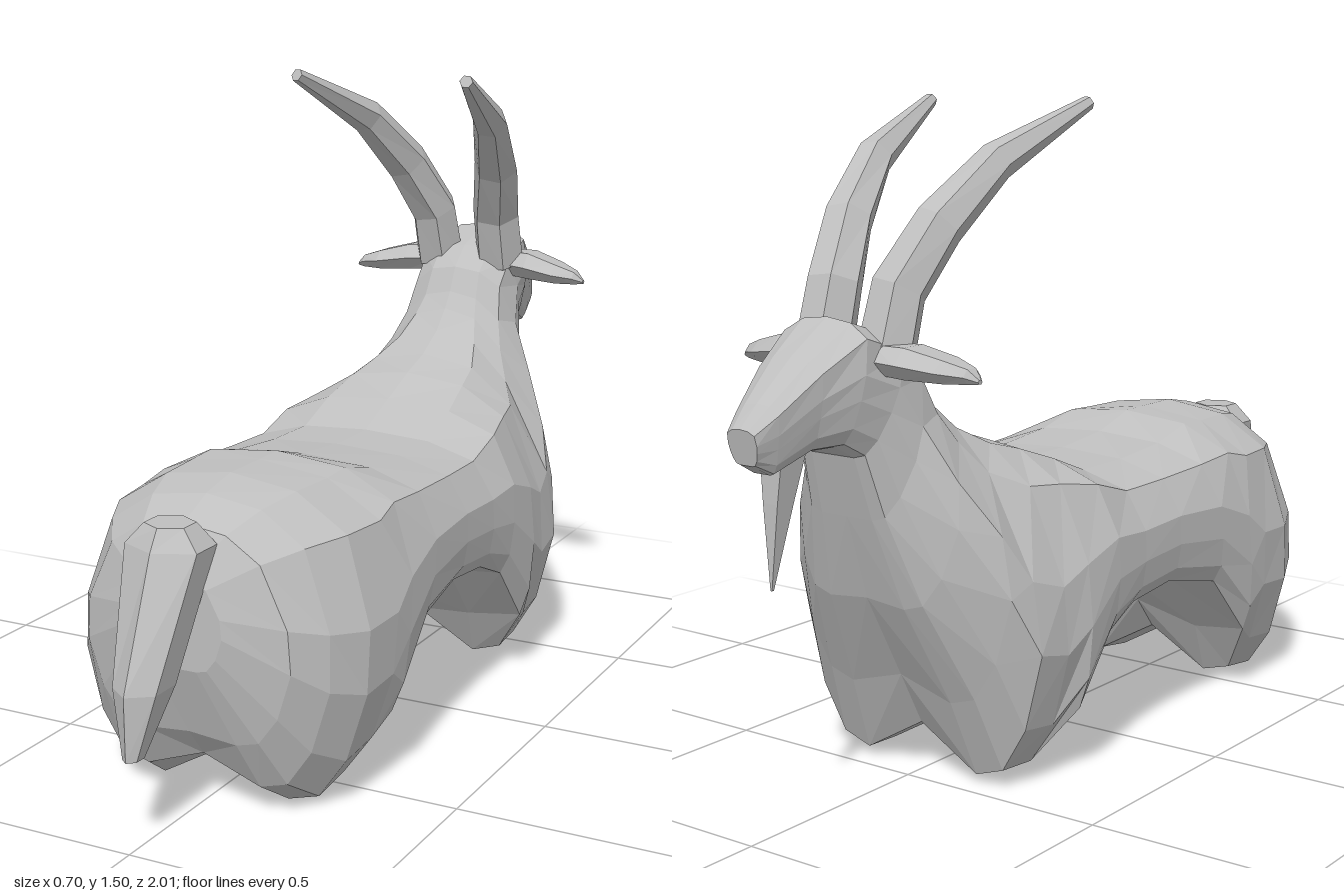
import * as THREE from 'three';

const coat = new THREE.MeshStandardMaterial({ color: 0xbfbfbf, flatShading: true });
coat.name = 'grey coat';

// Skins a list of equal-length closed rings of [x, y, z] and caps both ends.
function loft(name, rings) {
  const n = rings[0].length;
  const tris = [];
  for (let i = 0; i < rings.length - 1; i++) {
    for (let j = 0; j < n; j++) {
      const k = (j + 1) % n;
      const a = rings[i][j], b = rings[i][k], c = rings[i + 1][k], d = rings[i + 1][j];
      // mirrored diagonals keep both flanks alike
      if (j < n / 2) tris.push([a, b, c], [a, c, d]);
      else tris.push([a, b, d], [b, c, d]);
    }
  }
  const cap = (ring, flip) => {
    const mid = [0, 1, 2].map(c => ring.reduce((s, p) => s + p[c], 0) / n);
    ring.forEach((p, j) => {
      const q = ring[(j + 1) % n];
      tris.push(flip ? [mid, q, p] : [mid, p, q]);
    });
  };
  cap(rings[0], true);
  cap(rings[rings.length - 1], false);

  // a negative volume means the faces point inwards
  let volume = 0;
  const [u, v, w] = [new THREE.Vector3(), new THREE.Vector3(), new THREE.Vector3()];
  for (const [a, b, c] of tris) {
    volume += u.fromArray(a).dot(v.fromArray(b).cross(w.fromArray(c)));
  }
  if (volume < 0) tris.forEach(t => t.reverse());

  const geometry = new THREE.BufferGeometry();
  geometry.setAttribute('position', new THREE.Float32BufferAttribute(tris.flat(2), 3));
  geometry.computeVertexNormals();
  const mesh = new THREE.Mesh(geometry, coat);
  mesh.name = name;
  return mesh;
}

// Half outlines of a section: share of the height from the top, share of the half-width
const roundOutline = [[0, 0], [0.03, 0.5], [0.14, 0.88], [0.42, 1], [0.62, 0.97],
  [0.84, 0.84], [0.97, 0.66], [1, 0.45], [1, 0]];
const flatBellied = [[0, 0], [0.03, 0.5], [0.14, 0.86], [0.42, 1], [0.65, 1],
  [0.85, 0.97], [0.97, 0.9], [1, 0.5], [1, 0]];

// Sections: top z, top y, bottom z, bottom y, upper half-width, lower half-width, gap between legs
const hindquarters = [
  [0.82, 0.55, 0.82, 0.34, 0.09, 0.12, 0],
  [0.77, 0.64, 0.765, 0.17, 0.20, 0.255, 0.01],
  [0.68, 0.68, 0.71, 0.06, 0.265, 0.31, 0.05],
  [0.58, 0.70, 0.62, 0.00, 0.32, 0.35, 0.09],
  [0.46, 0.70, 0.51, 0.015, 0.34, 0.355, 0.09],
];
const barrel = [
  [0.38, 0.70, 0.44, 0.15, 0.34, 0.35, 0.04],
  [0.26, 0.665, 0.30, 0.31, 0.34, 0.345, 0.01],
  [0.10, 0.65, 0.10, 0.355, 0.335, 0.34, 0],
  [-0.05, 0.65, -0.05, 0.34, 0.33, 0.34, 0],
  [-0.17, 0.70, -0.16, 0.29, 0.33, 0.345, 0.01],
  [-0.28, 0.745, -0.28, 0.14, 0.30, 0.35, 0.04],
];
const forequarters = [
  [-0.37, 0.775, -0.35, 0.015, 0.27, 0.35, 0.09],
  [-0.45, 0.82, -0.45, 0.02, 0.21, 0.345, 0.09],
  [-0.50, 0.87, -0.52, 0.20, 0.165, 0.31, 0.04],
  [-0.53, 0.91, -0.63, 0.43, 0.142, 0.23, 0.01],
  [-0.56, 0.97, -0.69, 0.63, 0.132, 0.155, 0],
];
const head = [
  [-0.62, 1.02, -0.73, 0.77, 0.135, 0.13, 0],
  [-0.74, 1.06, -0.78, 0.80, 0.13, 0.115, 0],
  [-0.85, 0.99, -0.85, 0.80, 0.10, 0.08, 0],
  [-0.95, 0.91, -0.94, 0.765, 0.066, 0.05, 0],
  [-1.00, 0.865, -0.985, 0.79, 0.042, 0.038, 0],
];

function bodyRing([tz, ty, bz, by, wt, wb, gap], outline) {
  const half = outline.map(([t, x], i) => {
    const width = THREE.MathUtils.lerp(wt, wb, THREE.MathUtils.smoothstep(t, 0.05, 0.6));
    const lift = i === outline.length - 1 ? gap : 0;
    return [x * width, ty + (by - ty) * t + lift, tz + (bz - tz) * t];
  });
  const mirrored = half.slice(1, -1).reverse().map(([x, y, z]) => [-x, y, z]);
  return [...half, ...mirrored];
}

// Curved six-sided horn: centre x, y, z and radius at each joint
function horn(side) {
  const joints = [[0.085, 0.98, -0.655, 0.065], [0.088, 1.11, -0.615, 0.062],
    [0.125, 1.24, -0.525, 0.056], [0.168, 1.365, -0.385, 0.043], [0.222, 1.483, -0.12, 0.016]];
  const centres = joints.map(([x, y, z]) => new THREE.Vector3(x * side, y, z));
  const rings = centres.map((c, i) => {
    const along = centres[Math.min(i + 1, 4)].clone().sub(centres[Math.max(i - 1, 0)]).normalize();
    const across = new THREE.Vector3(1, 0, 0).addScaledVector(along, -along.x).normalize();
    const up = new THREE.Vector3().crossVectors(along, across);
    return Array.from({ length: 6 }, (_, j) => {
      const a = j * Math.PI / 3;
      return c.clone().addScaledVector(across, joints[i][3] * Math.cos(a))
        .addScaledVector(up, joints[i][3] * Math.sin(a)).toArray();
    });
  });
  return loft('horn', rings);
}

// Flat leaf-shaped ear: x, y, z, half height and half depth
function ear(side) {
  const joints = [[0.09, 0.975, -0.68, 0.035, 0.05], [0.17, 0.972, -0.67, 0.038, 0.064],
    [0.25, 0.96, -0.652, 0.028, 0.055], [0.30, 0.952, -0.645, 0.018, 0.028],
    [0.322, 0.942, -0.645, 0.005, 0.007]];
  return loft('ear', joints.map(([x, y, z, h, d]) => Array.from({ length: 6 }, (_, j) => {
    const a = j * Math.PI / 3;
    return [side * x, y + h * Math.sin(a), z + d * Math.cos(a)];
  })));
}

// Hanging four- to six-sided tuft: y, z, half-width and half depth
function tuft(name, joints, sides) {
  return loft(name, joints.map(([y, z, w, d]) => Array.from({ length: sides }, (_, j) => {
    const a = (j + 0.5) * 2 * Math.PI / sides;
    return [w * Math.cos(a), y, z + d * Math.sin(a)];
  })));
}

export function createModel() {
  const goat = new THREE.Group();
  goat.name = 'goat';
  goat.add(loft('body', [
    ...hindquarters.map(s => bodyRing(s, roundOutline)),
    ...barrel.map(s => bodyRing(s, flatBellied)),
    ...[...forequarters, ...head].map(s => bodyRing(s, roundOutline)),
  ]));
  for (const side of [1, -1]) goat.add(horn(side), ear(side));
  goat.add(tuft('tail', [[0.655, 0.82, 0.055, 0.05], [0.61, 0.82, 0.1, 0.078],
    [0.34, 0.93, 0.06, 0.075], [0.2, 0.975, 0.02, 0.029]], 6));
  goat.add(tuft('beard', [[0.82, -0.875, 0.045, 0.055], [0.7, -0.895, 0.028, 0.035],
    [0.52, -0.92, 0.003, 0.004]], 4));
  return goat;
}
